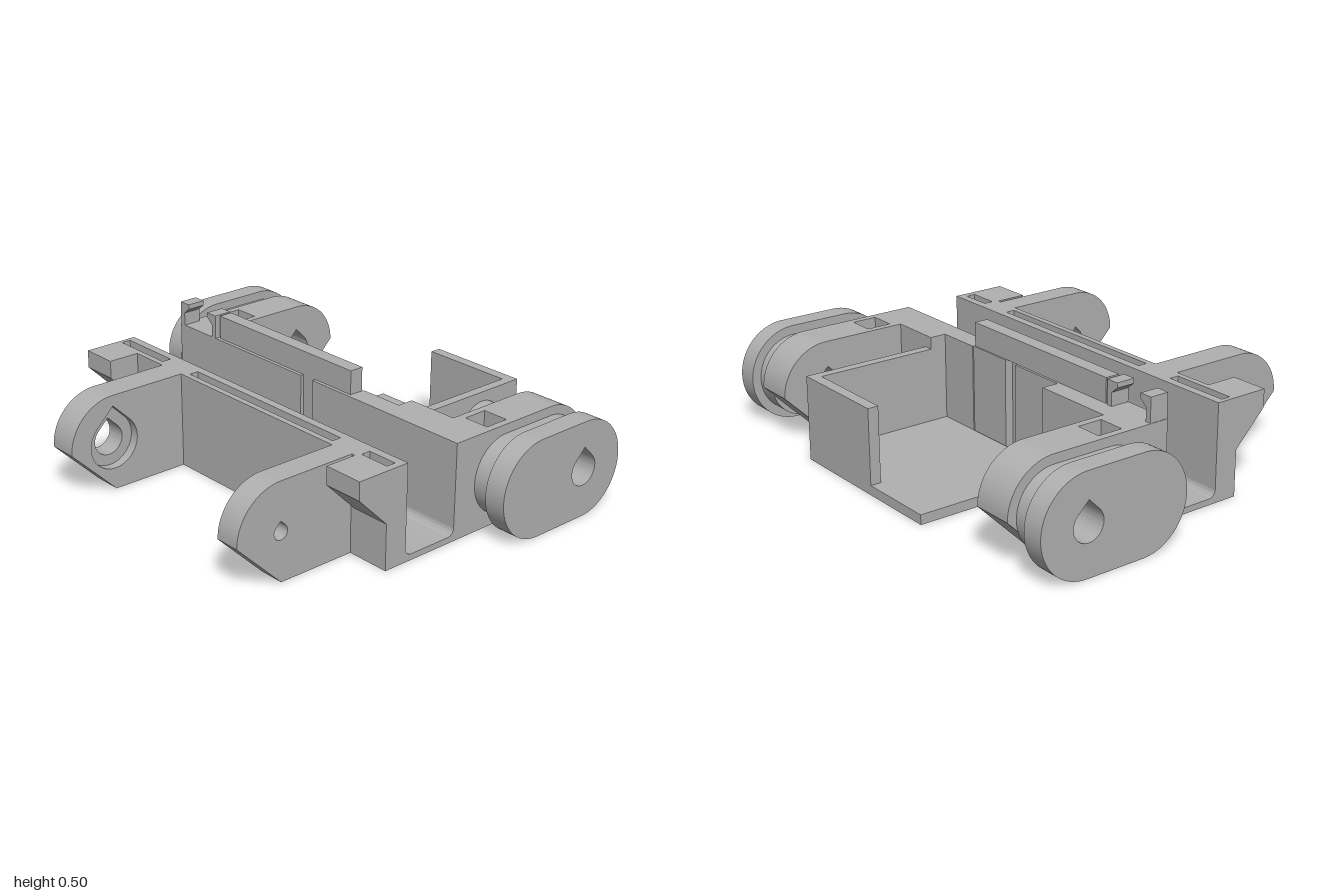
import * as THREE from 'three';
import { toCreasedNormals } from 'three/addons/utils/BufferGeometryUtils.js';

const PI = Math.PI;

function poly(points) {
  return new THREE.Shape(points.map(([x, y]) => new THREE.Vector2(x, y)));
}
function rect(x0, x1, y0, y1) {
  return poly([[x0, y0], [x1, y0], [x1, y1], [x0, y1]]);
}
function withHoles(shape, ...holes) {
  shape.holes.push(...holes);
  return shape;
}
// Round hole with a 45 degree peak on top
function teardrop(x, y, r) {
  const p = new THREE.Path();
  p.absarc(x, y, r, 0.75 * PI, 2.25 * PI, false);
  p.lineTo(x, y + r * Math.SQRT2);
  p.closePath();
  return p;
}
function stadium(r) {
  const s = new THREE.Shape();
  s.absarc(0.6, 0.2, r, -PI / 2, PI / 2, false);
  s.absarc(0.35, 0.2, r, PI / 2, 1.5 * PI, false);
  s.closePath();
  return s;
}
// Lug: quarter round above, 45 degree chamfer below; side is +1 or -1
function lug(inner, side) {
  const s = new THREE.Shape();
  s.moveTo(side * inner, 0);
  s.lineTo(side * 0.6, 0);
  s.lineTo(side * 0.8, 0.2);
  if (side > 0) s.absarc(0.6, 0.2, 0.2, 0, PI / 2, false);
  else s.absarc(-0.6, 0.2, 0.2, PI, PI / 2, true);
  s.lineTo(side * inner, 0.4);
  s.closePath();
  return s;
}

export function createModel() {
  const group = new THREE.Group();
  const grey = new THREE.MeshStandardMaterial({ color: 0xb0b0b0 });
  grey.name = 'grey plastic';

  function add(name, geometry) {
    const mesh = new THREE.Mesh(toCreasedNormals(geometry, 0.5), grey);
    mesh.name = name;
    group.add(mesh);
  }
  // Profile in x and y, swept from z0 to z1
  function sweep(name, shape, z0, z1) {
    const g = new THREE.ExtrudeGeometry(shape, { depth: z1 - z0, bevelEnabled: false, curveSegments: 24 });
    add(name, g.translate(0, 0, z0));
  }
  // Plan in x and z, raised from y0 to y1
  function slab(name, shape, y0, y1) {
    const g = new THREE.ExtrudeGeometry(shape, { depth: y1 - y0, bevelEnabled: false });
    add(name, g.rotateX(PI / 2).translate(0, y1, 0));
  }
  function box(name, x0, x1, y0, y1, z0, z1) {
    const g = new THREE.BoxGeometry(x1 - x0, y1 - y0, z1 - z0);
    add(name, g.translate((x0 + x1) / 2, (y0 + y1) / 2, (z0 + z1) / 2));
  }

  // Channel floor with rounded inner corners
  const floor = new THREE.Shape();
  floor.moveTo(-0.165, 0);
  floor.lineTo(0.085, 0);
  floor.lineTo(0.085, 0.055);
  floor.absarc(0.055, 0.055, 0.03, 0, -PI / 2, true);
  floor.lineTo(-0.135, 0.025);
  floor.absarc(-0.135, 0.055, 0.03, -PI / 2, -PI, true);
  floor.closePath();
  sweep('channelFloor', floor, -0.82, 0.82);

  // Left wall with blind slots in its top
  box('leftWallBase', -0.265, -0.165, 0, 0.2, -0.82, 0.82);
  slab('leftWallTop', withHoles(rect(-0.265, -0.165, -0.82, 0.82),
    rect(-0.24, -0.2, -0.8, -0.52),
    rect(-0.24, -0.2, -0.34, 0.505),
    rect(-0.24, -0.2, 0.66, 0.79)), 0.2, 0.4);

  // Corbels at the ends of the left wall
  const corbel = [[-0.265, 0.19], [-0.265, 0.4], [-0.4, 0.4], [-0.4, 0.325]];
  sweep('backCorbel', poly(corbel), -0.82, -0.66);
  sweep('frontCorbel', poly(corbel), 0.65, 0.82);

  // Hinge tabs; the back one has a wide hole with a counterbore
  sweep('frontTab', withHoles(lug(0.265, -1), teardrop(-0.6, 0.2, 0.031)), 0.53, 0.635);
  sweep('backTab', withHoles(lug(0.265, -1), teardrop(-0.6, 0.2, 0.065)), -0.49, -0.405);
  sweep('backTabCounterbore', withHoles(lug(0.265, -1), teardrop(-0.6, 0.2, 0.11)), -0.405, -0.365);

  // Right wall: thick ends, thinner beside the tray, with a recess
  box('rightWallBack', 0.085, 0.24, 0, 0.4, -0.66, -0.3);
  box('rightWallFront', 0.085, 0.24, 0, 0.4, 0.43, 0.65);
  box('rightWallMiddle', 0.085, 0.17, 0, 0.4, -0.3, -0.04);
  box('rightWallRecess', 0.1, 0.13, 0, 0.4, -0.04, 0.03);
  box('rightWallPanel', 0.085, 0.165, 0, 0.4, 0.03, 0.24);
  box('rightWallPost', 0.085, 0.17, 0, 0.4, 0.24, 0.43);
  box('divider', 0.1, 0.16, 0.4, 0.5, -0.57, 0.235);

  // Pair of snap hooks facing each other
  for (const [name, s] of [['frontHook', 1], ['backHook', -1]]) {
    const hook = poly([[0.118, 0.4], [0.118, 0.5], [0.063, 0.5], [0.063, 0.48], [0.093, 0.455], [0.093, 0.4]]
      .map(([z, y]) => [0.085 + 0, 0] && [-0.7 + s * z, y]));
    const g = new THREE.ExtrudeGeometry(hook, { depth: 0.08, bevelEnabled: false });
    add(name, g.rotateY(-PI / 2).translate(0.165, 0, 0));
  }

  // Wheel arms: pocketed root, rounded nose, neck and outer flange
  for (const [name, s] of [['front', 1], ['back', -1]]) {
    const span = (a, b) => (s > 0 ? [a, b] : [-b, -a]);
    const [z0, z1] = span(0.65, 0.82);
    const [p0, p1] = span(0.68, 0.79);
    box(name + 'ArmRoot', 0.085, 0.42, 0, 0.1, z0, z1);
    slab(name + 'ArmPocket', withHoles(rect(0.085, 0.42, z0, z1), rect(0.275, 0.38, p0, p1)), 0.1, 0.4);
    const hole = () => teardrop(0.595, 0.2, 0.066);
    sweep(name + 'ArmNose', withHoles(lug(0.42, 1), hole()), z0, z1);
    sweep(name + 'ArmNeck', withHoles(stadium(0.162), hole()), ...span(0.82, 0.91));
    sweep(name + 'ArmFlange', withHoles(stadium(0.2), hole()), ...span(0.91, 1));
  }

  // Open tray with a square hole in its floor
  slab('trayFloor', withHoles(rect(0.17, 0.8, -0.3, 0.47), rect(0.33, 0.405, -0.27, -0.21)), 0, 0.04);
  sweep('trayFrontWall', withHoles(rect(0.17, 0.8, 0.04, 0.35), teardrop(0.595, 0.2, 0.023)), 0.43, 0.47);
  box('traySideWall', 0.755, 0.8, 0.04, 0.35, 0.03, 0.43);

  // Arched bearing boss on the tray front
  const boss = new THREE.Shape();
  boss.moveTo(0.485, 0);
  boss.lineTo(0.705, 0);
  boss.absarc(0.595, 0.2, 0.11, 0, PI, false);
  boss.closePath();
  sweep('trayBoss', withHoles(boss, teardrop(0.595, 0.2, 0.023)), 0.47, 0.52);

  return group;
}
